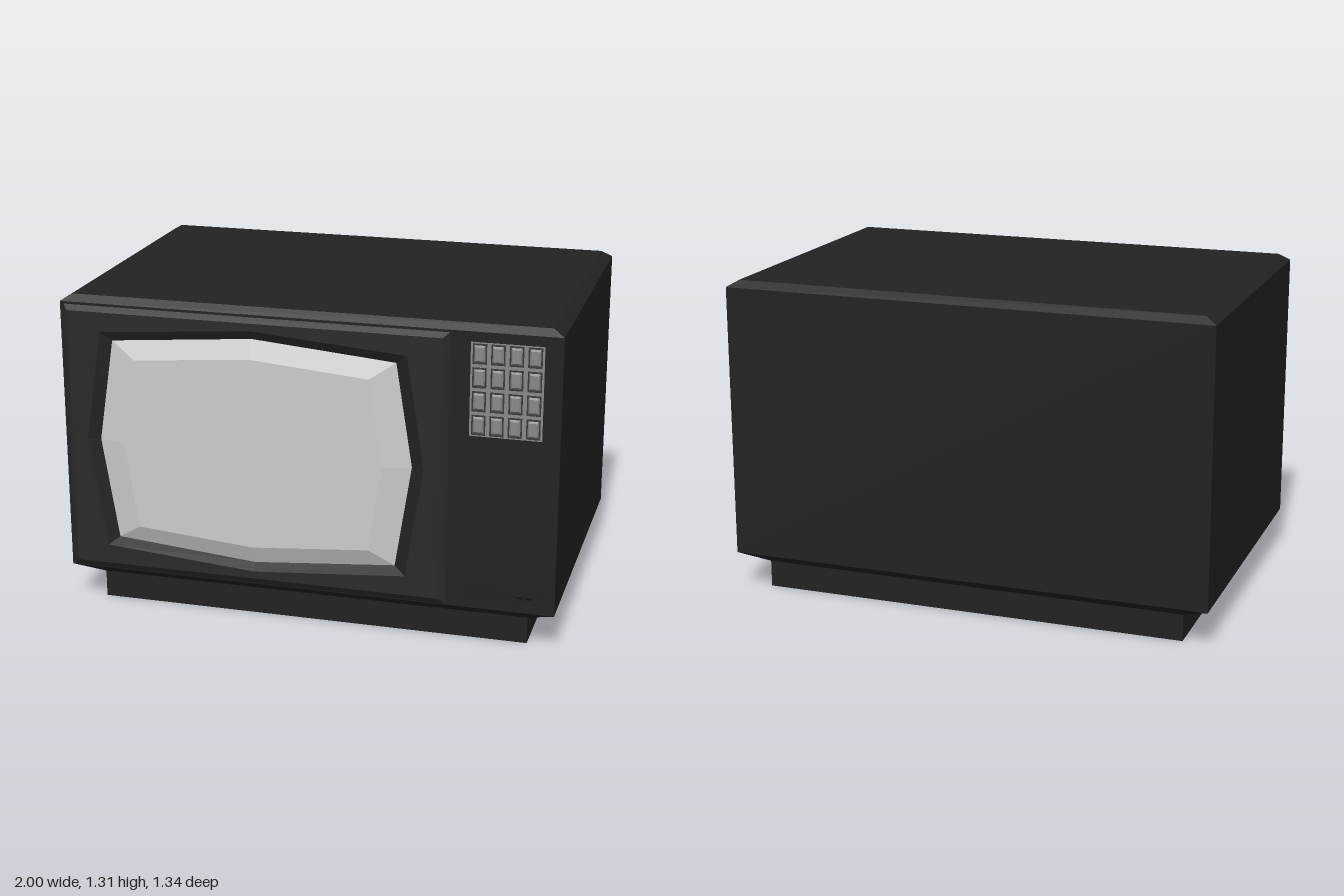
import * as THREE from 'three';

const paint = (color) => new THREE.MeshStandardMaterial({ color, flatShading: true });
const black = paint(0x222222), panelBlack = paint(0x2a2a2a), deepBlack = paint(0x111111);
const grey = paint(0xcccccc), keyGrey = paint(0x888888), wellGrey = paint(0x3a3a3a);

// Skin between matching rings of points, with optional end caps
function loft(rings, capStart = false, capEnd = false) {
  const pos = [];
  const tri = (...pts) => pts.forEach((p) => pos.push(...p));
  for (let r = 0; r < rings.length - 1; r++) {
    const a = rings[r], b = rings[r + 1], n = a.length;
    for (let i = 0; i < n; i++) {
      const j = (i + 1) % n;
      tri(a[i], a[j], b[j]);
      tri(a[i], b[j], b[i]);
    }
  }
  const s = rings[0], e = rings[rings.length - 1];
  for (let i = 1; i < s.length - 1; i++) {
    if (capStart) tri(s[0], s[i + 1], s[i]);
    if (capEnd) tri(e[0], e[i], e[i + 1]);
  }
  const g = new THREE.BufferGeometry();
  g.setAttribute('position', new THREE.Float32BufferAttribute(pos, 3));
  g.computeVertexNormals();
  return g;
}

// Horizontal rectangle at height y
const level = (y, x, zf, zb) => [[x, y, zf], [x, y, zb], [-x, y, zb], [-x, y, zf]];

// Upright rectangle facing the front
const rect = (x0, x1, y0, y1, z) => [[x0, y0, z], [x1, y0, z], [x1, y1, z], [x0, y1, z]];

// Eight-sided bulging screen outline
const CX = -0.21, CY = 0.72;
const outline = (w, wc, hc, h, z) =>
  [[w, 0], [wc, hc], [0, h], [-wc, hc], [-w, 0], [-wc, -hc], [0, -h], [wc, -hc]]
    .map(([x, y]) => [CX + x, CY + y, z]);

const toVec2 = (ring) => ring.map(([x, y]) => new THREE.Vector2(x, y));

export function createModel() {
  const model = new THREE.Group();
  const add = (name, geometry, material, parent = model) => {
    const mesh = new THREE.Mesh(geometry, material);
    mesh.name = name;
    parent.add(mesh);
    return mesh;
  };

  // Cabinet with chamfered top and tapered underside, on a plinth
  add('cabinet', loft([
    level(0.11, 0.885, 0.565, -0.595),
    level(0.16, 1, 0.637, -0.67),
    level(1.28, 1, 0.637, -0.67),
    level(1.307, 0.955, 0.612, -0.64),
  ], true, true), black);
  add('plinth', loft([
    level(0, 0.885, 0.565, -0.595),
    level(0.11, 0.885, 0.565, -0.595),
  ], true, true), black);

  // Raised screen panel: bevelled edge, flat face with opening, sloped recess
  const FRONT = 0.656, BACK = 0.639;
  const screenPanel = new THREE.Group();
  screenPanel.name = 'screenPanel';
  model.add(screenPanel);
  const face = rect(-0.965, 0.545, 0.19, 1.25, FRONT);
  const opening = outline(0.69, 0.62, 0.45, 0.5, FRONT);
  add('panelBevel', loft([rect(-0.985, 0.57, 0.163, 1.27, 0.637), face]), panelBlack, screenPanel);
  const faceShape = new THREE.Shape(toVec2(face));
  faceShape.holes.push(new THREE.Path(toVec2(opening)));
  add('panelFace', new THREE.ShapeGeometry(faceShape).translate(0, 0, FRONT), panelBlack, screenPanel);
  const seat = outline(0.64, 0.575, 0.415, 0.465, BACK);
  add('screenRecess', loft([opening, seat]), black, screenPanel);

  // Faceted screen
  add('screen', loft([seat, outline(0.53, 0.475, 0.35, 0.39, 0.671)], false, true), grey);

  // Keypad: plate, dark wells and bevelled keys
  const keypad = new THREE.Group();
  keypad.name = 'keypad';
  model.add(keypad);
  add('keypadPlate', new THREE.BoxGeometry(0.28, 0.37, 0.01).translate(0.79, 1.055, 0.635), keyGrey, keypad);
  for (let row = 0; row < 4; row++) {
    for (let col = 0; col < 4; col++) {
      const x = 0.685 + col * 0.07, y = 0.915 + row * 0.0935;
      add('keyWell', new THREE.BoxGeometry(0.054, 0.08, 0.004).translate(x, y, 0.639), wellGrey, keypad);
      add('key', loft([
        rect(x - 0.021, x + 0.021, y - 0.033, y + 0.033, 0.641),
        rect(x - 0.015, x + 0.015, y - 0.026, y + 0.026, 0.647),
      ], false, true), keyGrey, keypad);
    }
  }

  // Small control flap with two slots
  add('flap', new THREE.BoxGeometry(0.3, 0.05, 0.006).translate(0.79, 0.225, 0.637), black);
  for (const x of [0.865, 0.9]) {
    add('flapSlot', new THREE.BoxGeometry(0.024, 0.008, 0.004).translate(x, 0.223, 0.64), deepBlack);
  }

  return model;
}
